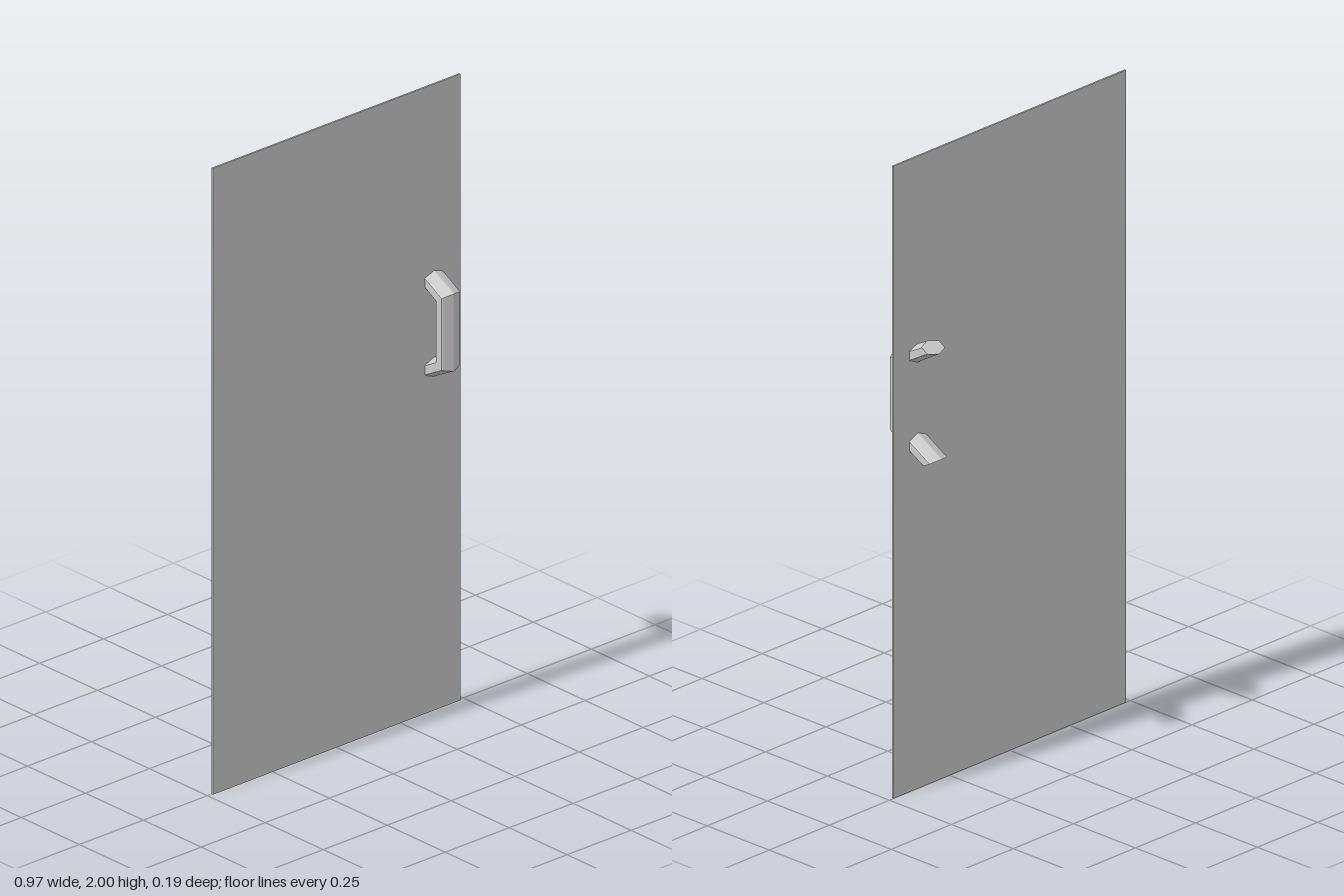
import * as THREE from 'three';

const material = new THREE.MeshStandardMaterial({ color: 0xcccccc, flatShading: true });

// Six-sided section: x offset, and depth from the outer (0) to the inner (1) ridge
const W = 0.036;
const HEX = [[0, 0], [W, 0.24], [W, 0.76], [0, 1], [-W, 0.76], [-W, 0.24]];

// Cut every corner of a section by a small fraction of its sides
function chamfer(points, f) {
  const mix = (a, b) => [a[0] + (b[0] - a[0]) * f, a[1] + (b[1] - a[1]) * f];
  const n = points.length;
  return points.flatMap((p, i) => [mix(p, points[(i + n - 1) % n]), mix(p, points[(i + 1) % n])]);
}

// Sweep the section through stations given as [outer y, outer z, inner y, inner z]
function sweep(section, stations) {
  const n = section.length;
  const positions = [];
  const index = [];
  for (const [oy, oz, iy, iz] of stations) {
    for (const [x, t] of section) positions.push(x, oy + (iy - oy) * t, oz + (iz - oz) * t);
  }
  const last = (stations.length - 1) * n;
  for (let s = 0; s < last; s += n) {
    for (let j = 0; j < n; j++) {
      const k = (j + 1) % n;
      index.push(s + j, s + n + j, s + k, s + k, s + n + j, s + n + k);
    }
  }
  // End caps
  for (let j = 1; j < n - 1; j++) {
    index.push(0, j, j + 1, last, last + j + 1, last + j);
  }
  const geometry = new THREE.BufferGeometry();
  geometry.setAttribute('position', new THREE.Float32BufferAttribute(positions, 3));
  geometry.setIndex(index);
  const flat = geometry.toNonIndexed();
  flat.computeVertexNormals();
  return flat;
}

export function createModel() {
  const group = new THREE.Group();

  // Thin door panel
  const panel = new THREE.Mesh(new THREE.BoxGeometry(0.966, 2, 0.006), material);
  panel.name = 'doorPanel';
  panel.position.set(0, 1, 0.003);
  group.add(panel);

  // Bent pull handle whose slanted arms pass through the panel
  const handle = new THREE.Mesh(sweep(chamfer(HEX, 0.06), [
    [1.427, -0.036, 1.4, -0.086],
    [1.36, 0.093, 1.325, 0.038],
    [1.112, 0.093, 1.147, 0.038],
    [1.04, -0.043, 1.07, -0.096],
  ]), material);
  handle.name = 'pullHandle';
  handle.position.x = 0.381;
  group.add(handle);

  return group;
}
